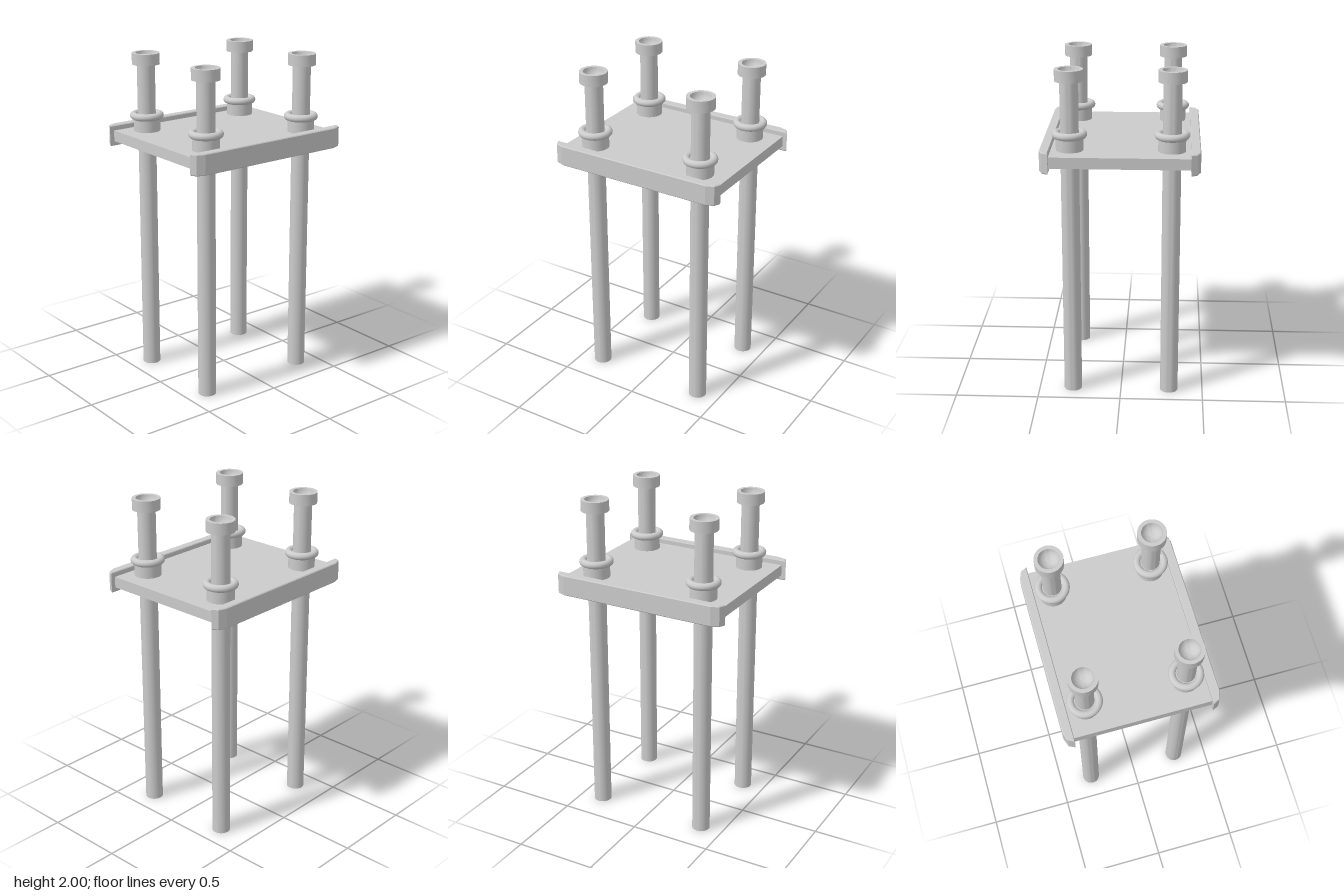
import * as THREE from 'three';
import { toCreasedNormals } from 'three/addons/utils/BufferGeometryUtils.js';

const material = new THREE.MeshStandardMaterial({ color: 0xcccccc });

function addMesh(parent, name, geometry) {
  const mesh = new THREE.Mesh(geometry, material);
  mesh.name = name;
  parent.add(mesh);
  return mesh;
}

// Points of a rounded hollow, from its deepest point on the axis to its rim
function hollow(radius, rimY, depth, steps = 6) {
  return Array.from({ length: steps + 1 }, (_, i) => {
    const a = (i / steps) * Math.PI / 2;
    return new THREE.Vector2(radius * Math.sin(a), rimY + depth * Math.cos(a));
  });
}

function lathe(points) {
  return toCreasedNormals(new THREE.LatheGeometry(points, 40), 0.6);
}

export function createModel() {
  const model = new THREE.Group();
  model.name = 'postFrame';

  // Flat deck between the side rails
  addMesh(model, 'deck', new THREE.BoxGeometry(0.82, 0.066, 1.05)).position.y = 1.494;

  // Side rails with clipped outer corners
  const railShape = new THREE.Shape([
    [0.405, -0.553], [0.442, -0.535], [0.46, -0.487],
    [0.46, 0.487], [0.442, 0.535], [0.405, 0.553],
  ].map(([x, y]) => new THREE.Vector2(x, y)));
  const railGeometry = new THREE.ExtrudeGeometry(railShape, {
    depth: 0.115, bevelEnabled: true, bevelThickness: 0.005,
    bevelSize: 0.005, bevelOffset: -0.005, bevelSegments: 1,
  });
  railGeometry.rotateX(-Math.PI / 2);
  for (const side of ['left', 'right']) {
    const rail = addMesh(model, side + 'Rail', railGeometry);
    rail.position.y = 1.438;
    if (side === 'right') rail.rotation.y = Math.PI;
  }

  // Post profile: hollow foot, shaft, wider head with a dished top
  const shaft = [[0.054, 0], [0.054, 1.932], [0.083, 1.932], [0.083, 2]]
    .map(([x, y]) => new THREE.Vector2(x, y));
  const postGeometry = lathe([
    ...hollow(0.048, 0, 0.03),
    ...shaft,
    ...hollow(0.061, 2, -0.06).reverse(),
  ]);

  // Collar sleeve and the rounded ring around its top
  const sleeveGeometry = new THREE.CylinderGeometry(0.08, 0.08, 0.1, 40);
  const ringGeometry = new THREE.TorusGeometry(0.08, 0.022, 14, 40).rotateX(Math.PI / 2);

  for (const x of [-0.295, 0.295]) {
    for (const z of [-0.358, 0.358]) {
      const assembly = new THREE.Group();
      assembly.name = (z > 0 ? 'front' : 'back') + (x > 0 ? 'Left' : 'Right') + 'Post';
      assembly.position.set(x, 0, z);
      addMesh(assembly, 'post', postGeometry);
      addMesh(assembly, 'collarSleeve', sleeveGeometry).position.y = 1.575;
      addMesh(assembly, 'collarRing', ringGeometry).position.y = 1.62;
      model.add(assembly);
    }
  }
  return model;
}
